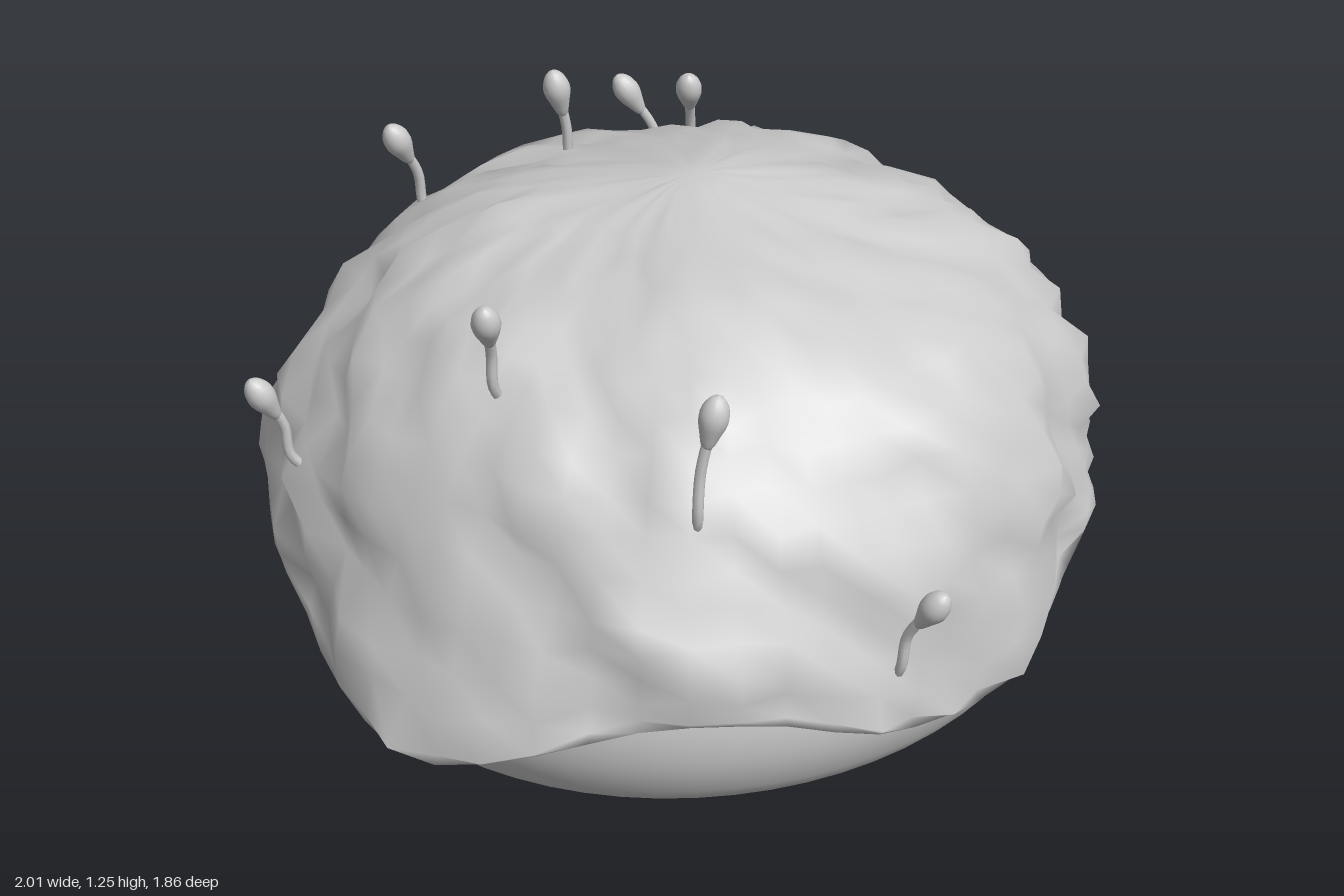
import * as THREE from 'three';
import { mergeVertices } from 'three/addons/utils/BufferGeometryUtils.js';

const material = new THREE.MeshStandardMaterial({ color: 0xcccccc });
const mossMaterial = new THREE.MeshStandardMaterial({ color: 0xcccccc, side: THREE.DoubleSide });
const deg = Math.PI / 180;

function makeRandom(seed) {
  return () => {
    seed = (seed * 16807) % 2147483647;
    return seed / 2147483647;
  };
}

// Smooth lookup in a table of [degrees from the front towards +x, value]
function around(table, phi) {
  let d = phi / deg;
  if (d > 352) d -= 360;
  const i = table.findIndex((p, k) => k > 0 && d <= p[0]);
  const [a, b] = [table[i - 1], table[i]];
  return THREE.MathUtils.lerp(a[1], b[1], THREE.MathUtils.smoothstep(d, a[0], b[0]));
}

// Height of the hanging moss edge
const RIM = [[-8, 0.29], [28, 0.45], [75, 0.25], [135, 0.44], [180, 0.42], [225, 0.46], [277, 0.28], [313, 0.43], [352, 0.29]];
// Farthest reach of the moss
const REACH = [
  [-8, 0.87], [0, 0.89], [12, 0.85], [26, 0.83], [55, 0.87], [74, 0.95], [88, 0.98], [113, 0.95], [138, 0.92],
  [167, 0.87], [181, 0.93], [209, 0.94], [227, 0.96], [250, 0.94], [282, 1.0], [311, 0.98], [330, 0.92], [352, 0.87],
];

// Soft lumps and hollows: [degrees, y, outward push, width]
const LUMPS = [
  [310, 0.64, 0.03, 0.15], [293, 0.62, -0.03, 0.13], [12, 0.72, 0.035, 0.2], [28, 0.64, -0.03, 0.13],
  [38, 0.72, 0.04, 0.13], [62, 0.66, 0.035, 0.15], [88, 0.75, -0.03, 0.25], [135, 0.87, -0.06, 0.25],
  [165, 0.62, -0.05, 0.2], [178, 0.52, 0.04, 0.1], [180, 0.8, -0.04, 0.2], [246, 0.66, 0.03, 0.15],
  [110, 0.58, -0.03, 0.13], [205, 0.62, -0.03, 0.12], [225, 0.68, 0.03, 0.15],
];
function lump(phi, y) {
  let sum = 0;
  for (const [a, ly, push, w] of LUMPS) {
    const d = Math.atan2(Math.sin(phi - a * deg), Math.cos(phi - a * deg)) * 0.85;
    sum += push * Math.exp(-(d * d + (y - ly) ** 2) / (w * w));
  }
  return sum + 0.014 * Math.sin(9 * phi + 7 * y) * Math.cos(12 * y + 2 * phi) + 0.01 * Math.sin(15 * phi - 14 * y + 1);
}

// Wavy dome of moss with a rolled lower edge
function mossGeometry() {
  const random = makeRandom(421);
  const N = 60, M = 18;
  const profile = new THREE.CatmullRomCurve3([
    [0, 1.12], [0.28, 1.095], [0.48, 1.03], [0.66, 0.93], [0.77, 0.79],
    [0.83, 0.64], [0.868, 0.48], [0.885, 0.3],
  ].map(([r, y]) => new THREE.Vector3(r, y, 0)));
  const positions = [], index = [];
  const lip = [[0.0, -0.014], [-0.025, -0.02], [-0.1, 0.015]];
  for (let j = 0; j <= M + lip.length; j++) {
    const t = Math.min(j / M, 1);
    const p = profile.getPointAt(t);
    const fade = Math.min(1, p.x / 0.5);
    for (let i = 0; i < N; i++) {
      const phi = (i / N) * Math.PI * 2;
      const h = around(RIM, phi);
      let y = p.y + (h - 0.3) * t ** 5;
      let r = p.x;
      r += lump(phi, y) * fade * (1 - 0.6 * t ** 8);
      // low hanging parts flare outward, raised parts hug the stone
      r += (around(REACH, phi) - 0.885) * t ** 4 * (1 - Math.max(0, h - 0.27) * 3 * t ** 12);
      y += 0.025 * Math.sin(8 * p.x * Math.sin(phi) + 1) * Math.cos(9 * p.x * Math.cos(phi)) * (1 - t);
      if (j <= M) {
        r += (random() - 0.5) * 0.045 * fade;
        y += (random() - 0.5) * 0.04 * (1 - t) * fade ** 2;
      } else {
        r += lip[j - M - 1][0];
        y += lip[j - M - 1][1];
      }
      positions.push(r * Math.sin(phi), y, r * Math.cos(phi));
    }
  }
  for (let j = 0; j < M + lip.length; j++) {
    for (let i = 0; i < N; i++) {
      const k = (i + 1) % N;
      const a = j * N + i, b = j * N + k, c = a + N, d = b + N;
      if (j > 0) index.push(a, d, b);
      index.push(a, c, d);
    }
  }
  const geometry = new THREE.BufferGeometry();
  geometry.setAttribute('position', new THREE.Float32BufferAttribute(positions, 3));
  geometry.setIndex(index);
  const merged = mergeVertices(geometry, 1e-5);
  merged.computeVertexNormals();
  return merged;
}

// Smooth flattened stone under the moss
function stoneGeometry() {
  const outline = new THREE.SplineCurve([
    [0, 0], [0.3, 0.008], [0.58, 0.04], [0.77, 0.1], [0.84, 0.18], [0.868, 0.29],
    [0.85, 0.42], [0.78, 0.58], [0.64, 0.76], [0.38, 0.91], [0, 0.97],
  ].map(([r, y]) => new THREE.Vector2(r, y)));
  const points = outline.getPoints(40);
  points.forEach((p) => { p.x = Math.max(0, p.x); p.y = Math.max(0, p.y); });
  const geometry = new THREE.LatheGeometry(points, 64);
  geometry.scale(1, 1, 0.945);
  geometry.translate(0, 0, -0.01);
  return geometry;
}

// Curved stalk with a pear-shaped bud
function sprout(base, head) {
  const group = new THREE.Group();
  group.name = 'sprout';
  const a = new THREE.Vector3(...base), b = new THREE.Vector3(...head);
  const root = a.clone().add(new THREE.Vector3(-a.x * 0.06, -0.06, -a.z * 0.06));
  const middle = new THREE.Vector3(a.x * 0.8 + b.x * 0.2, (a.y + b.y) / 2, a.z * 0.8 + b.z * 0.2);
  const path = new THREE.CatmullRomCurve3([root, a, middle, b]);
  const stalk = new THREE.Mesh(new THREE.TubeGeometry(path, 14, 0.011, 8), material);
  stalk.name = 'stalk';

  const budShape = [[0, -0.065], [0.011, -0.055], [0.02, -0.028], [0.029, 0.004], [0.026, 0.03], [0.014, 0.05], [0, 0.057]];
  const bud = new THREE.Mesh(
    new THREE.LatheGeometry(new THREE.SplineCurve(budShape.map((p) => new THREE.Vector2(...p))).getPoints(14)
      .map((p) => p.setX(Math.max(0, p.x))), 14), material);
  bud.name = 'bud';
  bud.position.copy(b);
  bud.quaternion.setFromUnitVectors(new THREE.Vector3(0, 1, 0), path.getTangent(1));
  group.add(stalk, bud);
  return group;
}

export function createModel() {
  const model = new THREE.Group();
  model.name = 'mossyStone';

  const stone = new THREE.Mesh(stoneGeometry(), material);
  stone.name = 'stone';
  const moss = new THREE.Mesh(mossGeometry(), mossMaterial);
  moss.name = 'moss';
  model.add(stone, moss);

  // Sprouts as base and bud positions
  const sprouts = [
    [[0.24, 0.52, -0.79], [0.22, 0.7, -0.82]],
    [[-0.21, 0.94, -0.6], [-0.27, 1.11, -0.6]],
    [[0.5, 0.8, -0.56], [0.44, 0.99, -0.6]],
    [[0.05, 1.01, -0.41], [0.02, 1.19, -0.41]],
    [[0.41, 0.92, -0.38], [0.36, 1.1, -0.34]],
    [[-0.82, 0.68, -0.36], [-0.87, 0.83, -0.37]],
    [[-0.67, 0.95, 0.09], [-0.71, 1.11, 0.12]],
    [[-0.59, 0.8, 0.55], [-0.57, 1.02, 0.57]],
    [[-0.31, 0.45, 0.83], [-0.31, 0.62, 0.9]],
  ];
  for (const [base, head] of sprouts) model.add(sprout(base, head));
  return model;
}
